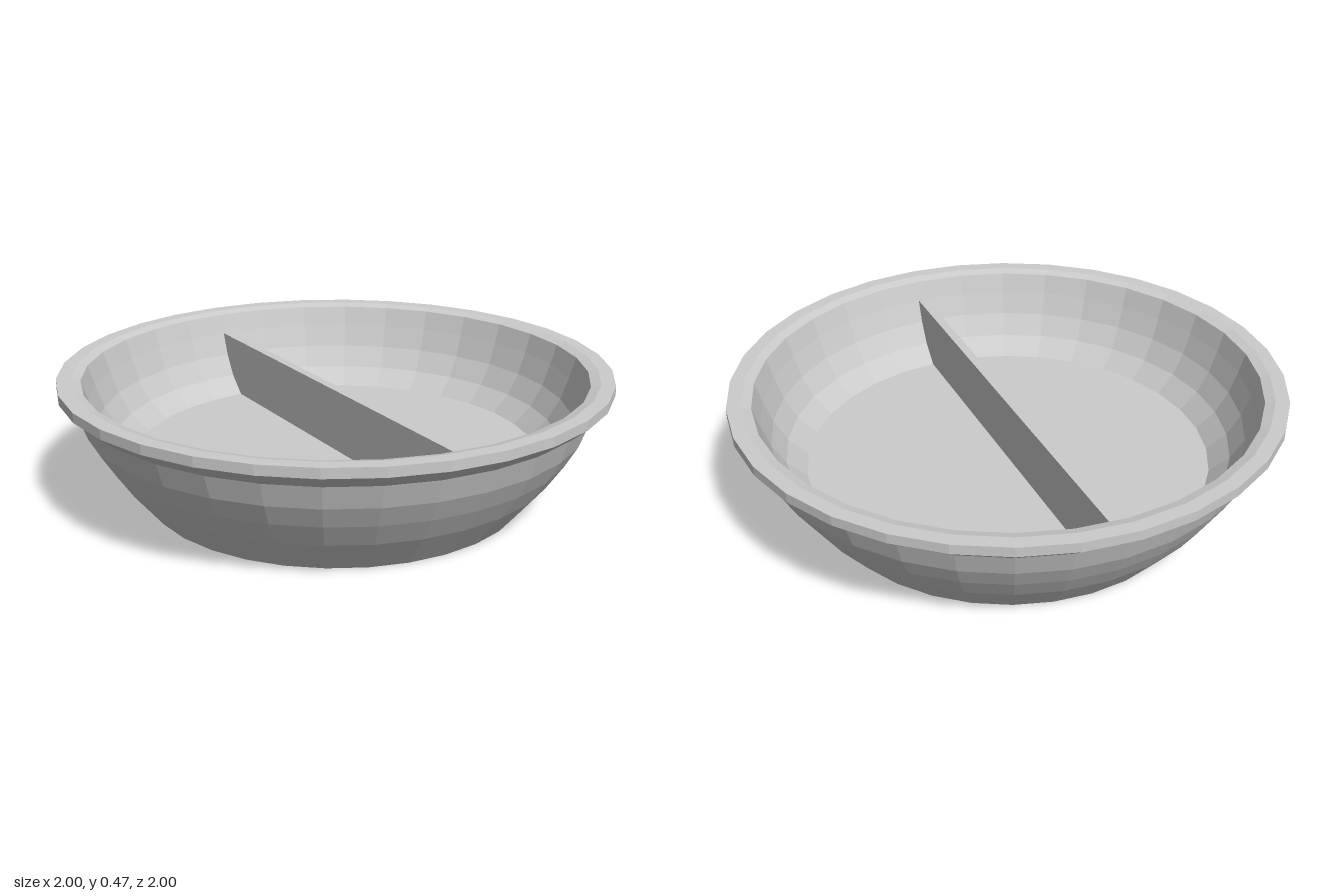
import * as THREE from 'three';

export function createModel() {
  const model = new THREE.Group();
  model.name = 'dividedBowl';
  const material = new THREE.MeshStandardMaterial({ color: 0xcccccc, flatShading: true });

  // Inner wall from the floor up, as [radius, height]; the divider ends follow it
  const innerWall = [[0.745, 0.155], [0.815, 0.22], [0.862, 0.3], [0.892, 0.385]];

  // Bowl: base, outer wall, flared rim, inner wall and floor as one closed profile
  const profile = [
    [0, 0], [0.7, 0], [0.805, 0.13], [0.865, 0.22], [0.91, 0.3], [0.94, 0.385],
    [1, 0.435], [1, 0.47], [0.95, 0.47], [0.915, 0.46],
    ...[...innerWall].reverse(), [0, innerWall[0][1]],
  ].map(([r, y]) => new THREE.Vector2(r, y));
  const bowl = new THREE.Mesh(new THREE.LatheGeometry(profile, 32), material);
  bowl.name = 'bowl';
  model.add(bowl);

  // Divider: thin upright plate running front to back, fitted to the inner wall
  const thickness = 0.034;
  const outline = new THREE.Shape([
    ...innerWall.map(([r, y]) => new THREE.Vector2(r, y)),
    ...[...innerWall].reverse().map(([r, y]) => new THREE.Vector2(-r, y)),
  ]);
  const plate = new THREE.ExtrudeGeometry(outline, { depth: thickness, bevelEnabled: false });
  plate.translate(0, 0, -thickness / 2).rotateY(Math.PI / 2);
  const divider = new THREE.Mesh(plate, material);
  divider.name = 'divider';
  model.add(divider);

  return model;
}
